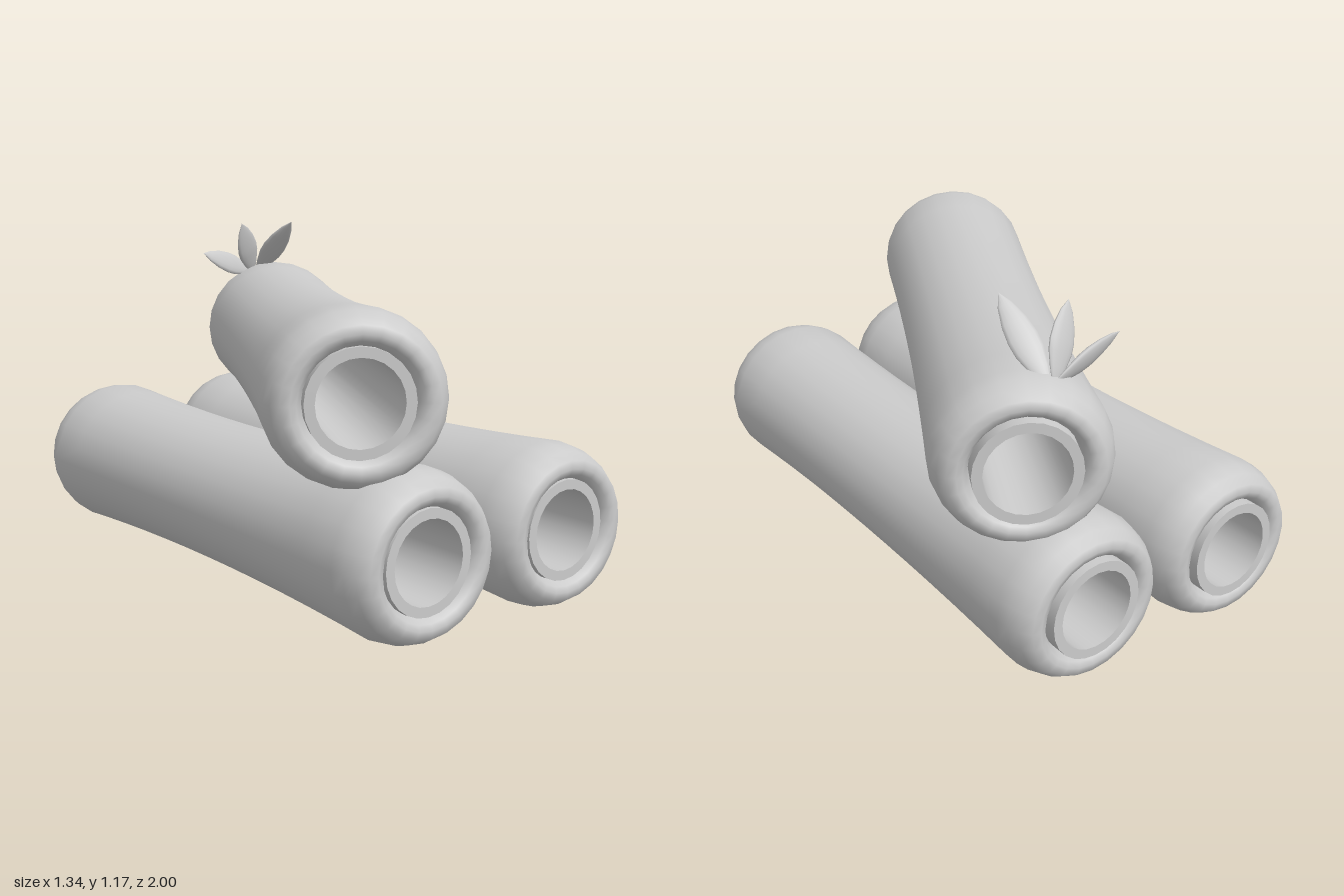
import * as THREE from 'three';
import { toCreasedNormals } from 'three/addons/utils/BufferGeometryUtils.js';

const material = new THREE.MeshStandardMaterial({ color: 0xcccccc });
const points = (list) => list.map(([r, y]) => new THREE.Vector2(r, y));

// Revolves a profile round the z axis
function turned(profile, sides) {
  return new THREE.LatheGeometry(points(profile), sides).rotateX(Math.PI / 2);
}

// Rounded outer shell, waisted in the middle, a little more in height than in width
function shellGeometry() {
  const end = [[0.163, 0.93], [0.17, 0.965], [0.185, 0.988], [0.205, 0.995], [0.232, 0.99],
    [0.256, 0.955], [0.27, 0.915], [0.277, 0.87]];
  const middle = [];
  for (let i = -5; i <= 5; i++) {
    const t = i / 6;
    middle.push([0.262 + 0.015 * t * t, 0.87 * t]);
  }
  const back = end.map(([r, y]) => [r, -y]);
  const geometry = turned([...back, ...middle, ...end.slice().reverse()], 24);
  const p = geometry.attributes.position;
  for (let i = 0; i < p.count; i++) {
    const t = Math.min(1, Math.abs(p.getZ(i)) / 0.87);
    p.setY(i, p.getY(i) * (0.905 + 0.063 * t * t));
  }
  return toCreasedNormals(geometry, 1.2);
}

// Hollow lining that stands slightly proud at the back
function liningGeometry() {
  const loop = [[0.131, -1], [0.163, -1], [0.163, 0.975], [0.131, 0.975], [0.131, -1]];
  return toCreasedNormals(turned(loop, 24), 0.6);
}

// Flat pointed leaf of unit length growing along y
function leafGeometry() {
  const profile = [[0, 0], [0.3, 0.02], [0.65, 0.18], [0.95, 0.36], [1, 0.5],
    [0.85, 0.68], [0.5, 0.86], [0, 1]];
  return new THREE.LatheGeometry(points(profile), 14);
}

export function createModel() {
  const model = new THREE.Group();
  const shell = shellGeometry();
  const lining = liningGeometry();

  function addLog(name, x, y, turn) {
    const log = new THREE.Group();
    log.name = name;
    for (const [part, geometry] of [['shell', shell], ['lining', lining]]) {
      const mesh = new THREE.Mesh(geometry, material);
      mesh.name = part;
      log.add(mesh);
    }
    log.position.set(x, y, 0);
    log.rotation.y = turn;
    model.add(log);
  }

  // Two logs side by side and one lying across them
  addLog('lowerLogLeft', 0.285, 0.27, 0);
  addLog('lowerLogRight', -0.285, 0.27, 0);
  addLog('upperLog', 0, 0.735, -0.482);

  // Sprig of leaves: base, tip, facing direction, half width
  const leaf = leafGeometry();
  const leaves = [
    [[0.33, 0.965, -0.835], [0.075, 1.05, -0.805], [0, 0.4, 0.92], 0.044],
    [[0.335, 0.965, -0.835], [0.225, 1.167, -0.75], [0.2, -0.3, 0.93], 0.05],
    [[0.36, 0.965, -0.835], [0.372, 1.175, -0.61], [-0.4, -0.6, 0.65], 0.047],
  ];
  const sprig = new THREE.Group();
  sprig.name = 'sprig';
  for (const [base, tip, facing, width] of leaves) {
    const start = new THREE.Vector3(...base);
    const along = new THREE.Vector3(...tip).sub(start);
    const length = along.length();
    along.normalize();
    const across = along.clone().cross(new THREE.Vector3(...facing)).normalize();
    const normal = across.clone().cross(along);
    const mesh = new THREE.Mesh(leaf, material);
    mesh.name = 'leaf';
    mesh.quaternion.setFromRotationMatrix(new THREE.Matrix4().makeBasis(across, along, normal));
    mesh.position.copy(start);
    mesh.scale.set(width, length, 0.014);
    sprig.add(mesh);
  }
  model.add(sprig);
  return model;
}
